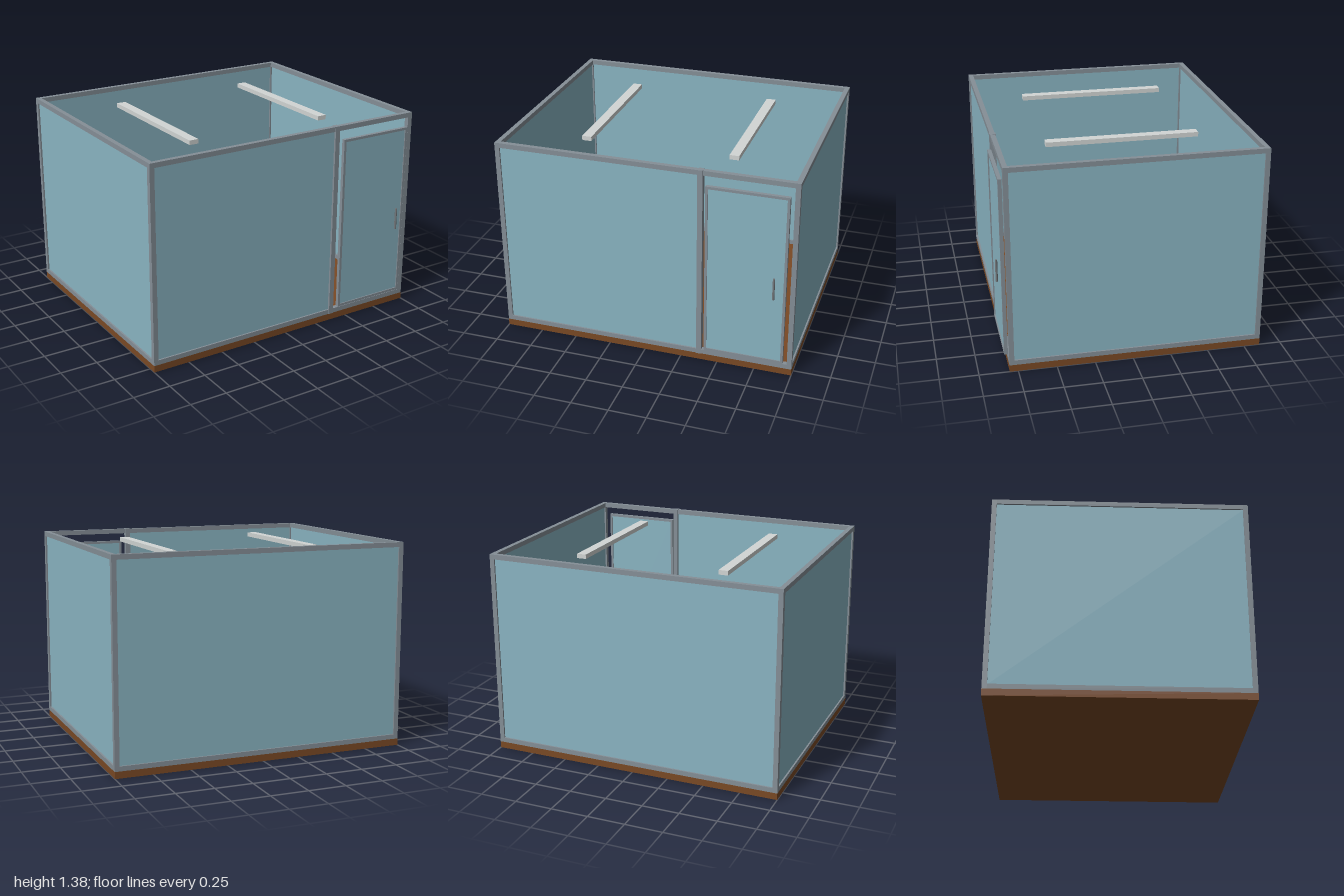
import * as THREE from 'three';

const material = (name, color) => {
  const m = new THREE.MeshStandardMaterial({ color });
  m.name = name;
  return m;
};

export function createModel() {
  const wood = material('brown floor', 0x7a4924);
  const metal = material('grey frame', 0x858f97);
  const glass = material('blue glass', 0x8ab5c3);
  const lamp = material('pale lamp', 0xd2d6d5);
  const dark = material('handle grey', 0x73787c);

  const room = new THREE.Group();
  room.name = 'glassRoom';

  // Box given by its lower and upper corners
  const box = (parent, name, mat, [x0, y0, z0], [x1, y1, z1]) => {
    const mesh = new THREE.Mesh(new THREE.BoxGeometry(x1 - x0, y1 - y0, z1 - z0), mat);
    mesh.position.set((x0 + x1) / 2, (y0 + y1) / 2, (z0 + z1) / 2);
    mesh.name = name;
    parent.add(mesh);
    return mesh;
  };

  // Rectangular frame of four bars in the xy plane, centred, with an optional pane
  const framedPanel = (name, w, h, bar, depth, pane) => {
    const g = new THREE.Group();
    g.name = name;
    const d = depth / 2, x = w / 2, y = h / 2;
    for (const s of [-1, 1]) {
      const post = box(g, 'post', metal, [-bar / 2, -y, -d], [bar / 2, y, d]);
      post.position.x = s * (x - bar / 2);
      const rail = box(g, 'rail', metal, [-x + bar, -bar / 2, -d], [x - bar, bar / 2, d]);
      rail.position.y = s * (y - bar / 2);
    }
    if (pane) box(g, 'pane', glass, [-x + bar, -y + bar, -0.005], [x - bar, y - bar, 0.005]);
    room.add(g);
    return g;
  };

  const BASE = 0.045, TOP = 1.38, BACK = -0.857, FRONT = 0.805, BAR = 0.032;
  const H = TOP - BASE, MID = (TOP + BASE) / 2;

  // Floor slab
  box(room, 'floor', wood, [-1, 0, BACK], [1, BASE, FRONT]);

  // Back wall and the two side walls
  framedPanel('backWall', 2, H, BAR, BAR, true).position.set(0, MID, BACK + BAR / 2);
  for (const s of [-1, 1]) {
    const side = framedPanel(s > 0 ? 'leftWall' : 'rightWall', FRONT - BACK, H, BAR, BAR, true);
    side.rotation.y = s * Math.PI / 2;
    side.position.set(s * (1 - BAR / 2), MID, (FRONT + BACK) / 2);
  }

  // Front wall: glazed panel, then the open doorway frame
  framedPanel('frontWall', 1.39, H, BAR, BAR, true).position.set(-0.305, MID, FRONT - BAR / 2);
  framedPanel('doorway', 0.64, H, BAR, BAR, false).position.set(0.68, MID, FRONT - BAR / 2);
  box(room, 'dividingPost', metal, [0.358, BASE, FRONT - BAR - 0.004], [0.392, TOP + 0.002, FRONT + 0.004]);

  // Sliding door hung in front of the doorway, with a bar handle
  framedPanel('door', 0.53, 1.195, 0.017, 0.024, true).position.set(0.68, 0.6925, 0.818);
  const handle = new THREE.Mesh(new THREE.CylinderGeometry(0.0075, 0.0075, 0.15, 16), dark);
  handle.name = 'doorHandle';
  handle.position.set(0.87, 0.655, 0.85);
  room.add(handle);

  // Two long ceiling lamps
  for (const x of [-0.5, 0.5])
    box(room, 'ceilingLamp', lamp, [x - 0.032, 1.32, -0.53], [x + 0.032, 1.35, 0.47]);

  return room;
}
